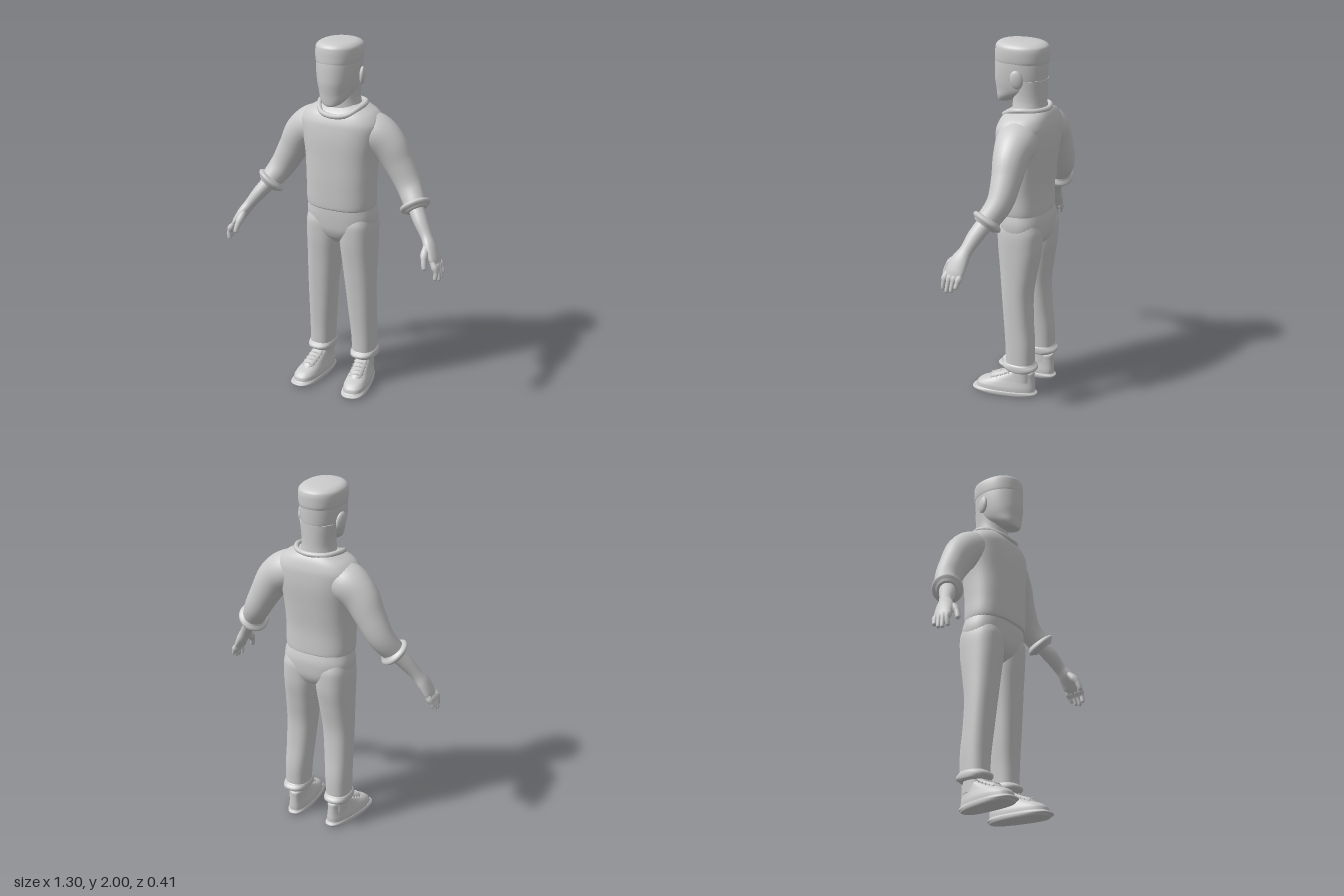
import * as THREE from 'three';

const material = new THREE.MeshStandardMaterial({ color: 0xcccccc });

function add(parent, name, geometry) {
  const mesh = new THREE.Mesh(geometry, material);
  mesh.name = name;
  parent.add(mesh);
  return mesh;
}

// Closed skin over a stack of rings, with a hard-edged cap at each end
function skin(rings) {
  const n = rings[0].length, pos = [], idx = [];
  rings.forEach(r => r.forEach(p => pos.push(p.x, p.y, p.z)));
  for (let i = 0; i < rings.length - 1; i++) {
    for (let j = 0; j < n; j++) {
      const a = i * n + j, d = i * n + (j + 1) % n;
      idx.push(a, a + n, d, d, a + n, d + n);
    }
  }
  for (const end of [0, 1]) {
    const ring = end ? rings[rings.length - 1] : rings[0];
    const base = pos.length / 3, c = new THREE.Vector3();
    ring.forEach(p => { pos.push(p.x, p.y, p.z); c.addScaledVector(p, 1 / n); });
    pos.push(c.x, c.y, c.z);
    for (let j = 0; j < n; j++) {
      const a = base + j, b = base + (j + 1) % n;
      end ? idx.push(base + n, b, a) : idx.push(base + n, a, b);
    }
  }
  const g = new THREE.BufferGeometry();
  g.setAttribute('position', new THREE.Float32BufferAttribute(pos, 3));
  g.setIndex(idx);
  g.computeVertexNormals();
  return g;
}

const smooth = vectors => new THREE.CatmullRomCurve3(vectors);
const rounded = (v, p) => Math.sign(v) * Math.abs(v) ** (2 / p);

// Upright loft; rows run upward as [y, xMin, xMax, zFront, zBack], p sets squareness
function loft(rows, p = 2.3, n = 40, sub = 5) {
  const A = smooth(rows.map(r => new THREE.Vector3(r[0], r[1], r[2])));
  const B = smooth(rows.map(r => new THREE.Vector3(r[3], r[4], 0)));
  const count = (rows.length - 1) * sub, rings = [];
  for (let i = 0; i <= count; i++) {
    const a = A.getPoint(i / count), b = B.getPoint(i / count);
    rings.push(Array.from({ length: n }, (_, j) => {
      const t = j / n * Math.PI * 2;
      return new THREE.Vector3(
        (a.y + a.z) / 2 + (a.z - a.y) / 2 * rounded(Math.cos(t), p), a.x,
        (b.x + b.y) / 2 + (b.x - b.y) / 2 * rounded(Math.sin(t), p));
    }));
  }
  return skin(rings);
}
// Symmetric upright loft; rows are [y, halfWidth, zFront, zBack]
const bodyLoft = (rows, p) => loft(rows.map(([y, h, f, b]) => [y, -h, h, f, b]), p);

// Limb along a path; rows are [x, y, z, radius towards z, radius across]
function limb(rows, n = 20, sub = 5) {
  const P = smooth(rows.map(r => new THREE.Vector3(r[0], r[1], r[2])));
  const R = smooth(rows.map(r => new THREE.Vector3(r[3], r[4], 0)));
  const count = (rows.length - 1) * sub, rings = [];
  for (let i = 0; i <= count; i++) {
    const t = i / count, c = P.getPoint(t), r = R.getPoint(t), T = P.getTangent(t);
    const u = new THREE.Vector3(0, 0, 1).addScaledVector(T, -T.z).normalize();
    const v = new THREE.Vector3().crossVectors(u, T);
    rings.push(Array.from({ length: n }, (_, j) => {
      const a = j / n * Math.PI * 2;
      return c.clone().addScaledVector(u, r.x * Math.cos(a)).addScaledVector(v, r.y * Math.sin(a));
    }));
  }
  return skin(rings);
}

// Finger or thumb with a rounded tip
function digit(a, b, c, r) {
  const tip = c.map((v, i) => v + (c[i] - b[i]) * 0.16);
  return limb([[...a, r, r], [...b, r, r], [...c, r * 0.8, r * 0.8], [...tip, r * 0.15, r * 0.15]], 10, 4);
}

function buildArm() {
  const arm = new THREE.Group();
  arm.name = 'arm';
  add(arm, 'sleeve', limb([
    [0.07, 1.52, -0.06, 0.10, 0.10], [0.18, 1.495, -0.07, 0.112, 0.108], [0.26, 1.435, -0.075, 0.095, 0.1],
    [0.32, 1.34, -0.08, 0.08, 0.085], [0.385, 1.225, -0.072, 0.068, 0.073], [0.45, 1.125, -0.02, 0.058, 0.06]], 28));
  add(arm, 'sleeveCuff', limb([
    [0.425, 1.155, -0.037, 0.056, 0.056], [0.43, 1.148, -0.034, 0.066, 0.067],
    [0.449, 1.122, -0.02, 0.066, 0.067], [0.455, 1.114, -0.016, 0.055, 0.056]], 28));
  add(arm, 'forearm', limb([
    [0.43, 1.15, -0.035, 0.046, 0.044], [0.49, 1.07, 0.012, 0.043, 0.039], [0.54, 1.0, 0.042, 0.036, 0.031],
    [0.573, 0.95, 0.063, 0.05, 0.03], [0.602, 0.9, 0.076, 0.054, 0.024], [0.62, 0.865, 0.082, 0.044, 0.015]]));
  for (let i = 0; i < 4; i++) {
    const z = 0.041 + i * 0.026, drop = [0.025, 0.006, 0, 0.008][i];
    add(arm, 'finger', digit([0.604, 0.895, z], [0.63, 0.85, z + 0.006],
      [0.642 - (i === 3 ? 0.012 : 0), 0.798 + drop, z + 0.012], 0.0135));
  }
  add(arm, 'thumb', digit([0.555, 0.965, 0.085], [0.565, 0.91, 0.135], [0.575, 0.862, 0.152], 0.0165));
  return arm;
}

function buildLeg() {
  const leg = new THREE.Group();
  leg.name = 'leg';
  add(leg, 'trouserLeg', loft([
    [0.165, 0.068, 0.198, 0.014, -0.145], [0.3, 0.06, 0.2, 0.018, -0.146], [0.45, 0.046, 0.2, 0.03, -0.132],
    [0.6, 0.032, 0.2, 0.043, -0.127], [0.75, 0.014, 0.2, 0.057, -0.148], [0.87, 0.001, 0.201, 0.07, -0.168],
    [0.97, 0, 0.2, 0.075, -0.172], [1.03, 0.02, 0.19, 0.06, -0.155]], 2.4));
  add(leg, 'trouserCuff', loft([
    [0.155, 0.07, 0.196, 0.01, -0.142], [0.163, 0.062, 0.205, 0.02, -0.152],
    [0.196, 0.062, 0.205, 0.02, -0.152], [0.205, 0.068, 0.198, 0.012, -0.146]], 2.4));
  add(leg, 'ankle', loft([[0.09, 0.085, 0.18, -0.01, -0.13], [0.18, 0.085, 0.18, -0.01, -0.13]]));

  // Shoe turned slightly outward
  const shoe = new THREE.Group();
  shoe.name = 'shoe';
  shoe.position.set(0.14, 0, 0);
  shoe.rotation.y = 0.13;
  leg.add(shoe);
  const widenToe = g => {
    const p = g.attributes.position;
    for (let i = 0; i < p.count; i++) p.setX(i, p.getX(i) * (0.95 + p.getZ(i) * 0.9));
    g.computeVertexNormals();
    return g;
  };
  add(shoe, 'sole', widenToe(bodyLoft([
    [0, 0.066, 0.193, -0.15], [0.008, 0.07, 0.2, -0.154], [0.024, 0.07, 0.2, -0.154], [0.03, 0.066, 0.195, -0.15]], 2.7)));
  add(shoe, 'upper', widenToe(bodyLoft([
    [0.02, 0.067, 0.194, -0.15], [0.05, 0.066, 0.188, -0.151], [0.072, 0.06, 0.16, -0.15],
    [0.092, 0.054, 0.108, -0.149], [0.118, 0.049, 0.045, -0.148], [0.142, 0.046, -0.005, -0.147],
    [0.148, 0.042, -0.012, -0.143]], 2.6)));
  add(shoe, 'tongue', limb([
    [0, 0.07, 0.12, 0.012, 0.02], [0, 0.095, 0.085, 0.02, 0.036],
    [0, 0.125, 0.02, 0.018, 0.036], [0, 0.158, -0.025, 0.01, 0.034]]));
  for (let i = 0; i < 5; i++) {
    const y = 0.104 + i * 0.0115, z = 0.1 - i * 0.025;
    add(shoe, 'lace', new THREE.TubeGeometry(smooth([
      new THREE.Vector3(-0.042, y - 0.018, z - 0.006), new THREE.Vector3(0, y + 0.006, z),
      new THREE.Vector3(0.042, y - 0.018, z - 0.006)]), 10, 0.005, 6));
  }
  return leg;
}

export function createModel() {
  const model = new THREE.Group();
  model.name = 'standingFigure';

  // Head, hair and neck
  add(model, 'head', bodyLoft([
    [1.662, 0.022, 0.122, 0.08], [1.672, 0.048, 0.126, 0.045], [1.7, 0.074, 0.129, -0.02],
    [1.74, 0.094, 0.134, -0.12], [1.8, 0.108, 0.14, -0.148], [1.87, 0.115, 0.138, -0.152],
    [1.95, 0.114, 0.128, -0.15]], 2.15));
  add(model, 'hair', bodyLoft([
    [1.885, 0.114, 0.134, -0.152], [1.9, 0.118, 0.136, -0.156], [1.945, 0.121, 0.134, -0.157],
    [1.972, 0.117, 0.13, -0.152], [1.989, 0.098, 0.113, -0.125], [1.997, 0.06, 0.08, -0.07],
    [2, 0.012, 0.035, 0]], 2.2));
  add(model, 'neck', bodyLoft([
    [1.56, 0.12, 0.05, -0.155], [1.63, 0.1, 0.037, -0.15], [1.69, 0.09, 0.033, -0.147],
    [1.8, 0.1, 0.03, -0.149]], 2.1));
  for (const s of [1, -1]) {
    const ear = add(model, 'ear', new THREE.SphereGeometry(1, 20, 14));
    ear.scale.set(0.016, 0.05, 0.034);
    ear.position.set(s * 0.119, 1.81, -0.035);
    ear.rotation.set(0.2, s * 0.3, -s * 0.1);
  }

  // Sweater
  add(model, 'sweater', bodyLoft([
    [1.068, 0.18, 0.085, -0.158], [1.078, 0.191, 0.097, -0.169], [1.2, 0.195, 0.102, -0.168],
    [1.35, 0.203, 0.102, -0.184], [1.47, 0.222, 0.1, -0.198], [1.55, 0.232, 0.09, -0.198],
    [1.6, 0.2, 0.07, -0.187], [1.635, 0.14, 0.035, -0.17], [1.648, 0.11, 0.015, -0.155]], 2.5));
  const half = [[0.075, 1.607, 0.057], [0.117, 1.638, 0], [0.126, 1.65, -0.06], [0.09, 1.647, -0.13]];
  const collar = [[0, 1.597, 0.075], ...half, [0, 1.645, -0.16],
    ...half.map(([x, y, z]) => [-x, y, z]).reverse()].map(p => new THREE.Vector3(...p));
  add(model, 'collar', new THREE.TubeGeometry(new THREE.CatmullRomCurve3(collar, true), 60, 0.014, 10, true));

  // Trouser seat
  add(model, 'trouserSeat', bodyLoft([
    [0.86, 0.04, 0.02, -0.1], [0.9, 0.12, 0.06, -0.155], [0.95, 0.185, 0.078, -0.174],
    [1.02, 0.2, 0.084, -0.178], [1.1, 0.185, 0.085, -0.16]], 2.5));

  // Limbs, mirrored
  for (const s of [1, -1]) {
    const limbs = new THREE.Group();
    limbs.name = s > 0 ? 'leftLimbs' : 'rightLimbs';
    limbs.add(buildArm(), buildLeg());
    limbs.scale.x = s;
    model.add(limbs);
  }
  return model;
}
